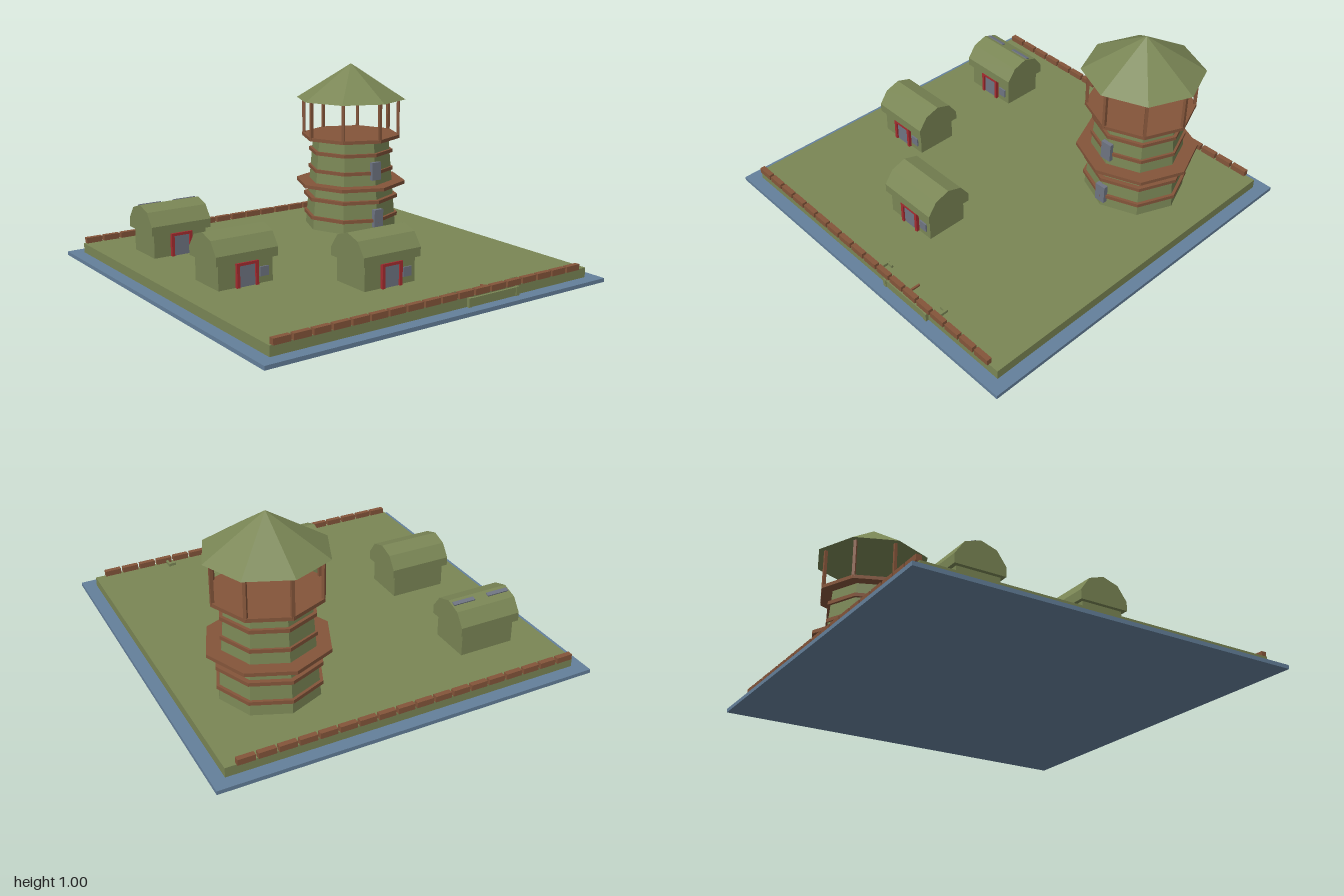
import * as THREE from 'three';

const material = (name, color) => {
  const m = new THREE.MeshStandardMaterial({ color });
  m.name = name;
  return m;
};

export function createModel() {
  const green = material('olive green', 0x7a8655);
  const brown = material('wood brown', 0x84553a);
  const blue = material('water blue', 0x64809b);
  const grey = material('slate grey', 0x6e7482);
  const red = material('door red', 0xa62c30);

  const model = new THREE.Group();
  model.name = 'outpost';

  const add = (parent, name, geometry, mat, x, y, z) => {
    const mesh = new THREE.Mesh(geometry, mat);
    mesh.name = name;
    mesh.position.set(x, y, z);
    parent.add(mesh);
    return mesh;
  };
  const box = (parent, name, mat, w, h, d, x, y, z) =>
    add(parent, name, new THREE.BoxGeometry(w, h, d), mat, x, y, z);
  const group = (name, x, y, z) => {
    const g = new THREE.Group();
    g.name = name;
    g.position.set(x, y, z);
    model.add(g);
    return g;
  };
  // Eight-sided solid with a corner facing the front
  const octagon = (top, bottom, height) => {
    const g = new THREE.CylinderGeometry(top, bottom, height, 8).toNonIndexed();
    g.computeVertexNormals();
    return g;
  };

  // Water and land
  box(model, 'water', blue, 2, 0.02, 2, 0, 0.01, 0);
  box(model, 'land', green, 1.866, 0.05, 1.866, 0, 0.045, 0);

  // Log rows along the front and back edges
  for (const [name, z] of [['frontFence', 0.93], ['backFence', -0.93]]) {
    const fence = group(name, 0, 0.085, z);
    for (let i = 0; i < 18; i++) {
      box(fence, 'log', brown, 0.088, 0.03, 0.027, -0.877 + i * 0.1006, 0, 0);
    }
  }

  // Landing at the front edge
  const landing = group('landing', 0.3, 0, 0);
  box(landing, 'landingSlab', green, 0.28, 0.042, 0.03, 0, 0.041, 0.93);
  for (const s of [-1, 1]) {
    box(landing, 'landingPost', green, 0.02, 0.045, 0.03, s * 0.15, 0.0425, 0.934);
    box(landing, 'bracketSide', green, 0.012, 0.015, 0.06, s * 0.215, 0.0775, 0.895);
    box(landing, 'bracketEnd', green, 0.04, 0.015, 0.01, s * 0.2, 0.0775, 0.873);
  }
  box(landing, 'mooringBar', brown, 0.01, 0.012, 0.075, 0, 0.074, 0.89);

  // Watchtower
  const tower = group('watchtower', 0.5, 0, -0.455);
  add(tower, 'towerWall', octagon(0.217, 0.26, 0.51), green, 0, 0.325, 0);
  const bands = [
    [0.14, 0.27], [0.245, 0.27], [0.325, 0.313], [0.405, 0.243], [0.505, 0.24], [0.588, 0.28],
  ];
  for (const [y, r] of bands) add(tower, 'woodenBand', octagon(r, r, 0.019), brown, 0, y, 0);
  for (let i = 0; i < 8; i++) {
    const a = (i * Math.PI) / 4;
    const post = box(tower, 'roofPost', brown, 0.016, 0.21, 0.016,
      Math.sin(a) * 0.27, 0.693, Math.cos(a) * 0.27);
    post.rotation.y = a;
  }
  add(tower, 'towerRoof', octagon(0, 0.31, 0.197), green, 0, 0.8965, 0);
  box(tower, 'towerDoor', grey, 0.06, 0.1, 0.025, 0, 0.153, 0.257);
  box(tower, 'towerWindow', grey, 0.06, 0.1, 0.022, 0, 0.417, 0.235);

  // Arched roof profile, extruded along the hut
  const arch = [
    [0.129, 0.195], [0.129, 0.241], [0.08, 0.309], [0, 0.335],
    [-0.08, 0.309], [-0.129, 0.241], [-0.129, 0.195],
  ].map(([x, y]) => new THREE.Vector2(x, y));
  const roofGeometry = new THREE.ExtrudeGeometry(new THREE.Shape(arch), { depth: 0.34, bevelEnabled: false });
  roofGeometry.translate(0, 0, -0.17).rotateY(Math.PI / 2);

  // Huts
  const huts = [[-0.605, -0.555], [-0.605, 0.1], [-0.055, 0.5]].map(([x, z]) => {
    const hut = group('hut', x, 0, z);
    box(hut, 'hutWall', green, 0.3, 0.13, 0.22, 0, 0.135, 0);
    add(hut, 'hutRoof', roofGeometry, green, 0, 0, 0);
    for (const s of [-1, 1]) {
      box(hut, 'doorJamb', red, 0.016, 0.12, 0.022, 0.003 + s * 0.052, 0.13, 0.116);
    }
    box(hut, 'doorLintel', red, 0.12, 0.014, 0.022, 0.003, 0.184, 0.116);
    box(hut, 'hutDoor', grey, 0.09, 0.108, 0.009, 0.003, 0.124, 0.113);
    box(hut, 'hutWindow', grey, 0.048, 0.048, 0.009, 0.1, 0.128, 0.113);
    return hut;
  });

  // Skylights on the back hut
  for (const s of [-1, 1]) {
    const skylight = box(huts[0], 'skylight', grey, 0.122, 0.008, 0.022, s * 0.1, 0.327, -0.03);
    skylight.rotation.x = -0.314;
  }

  return model;
}
